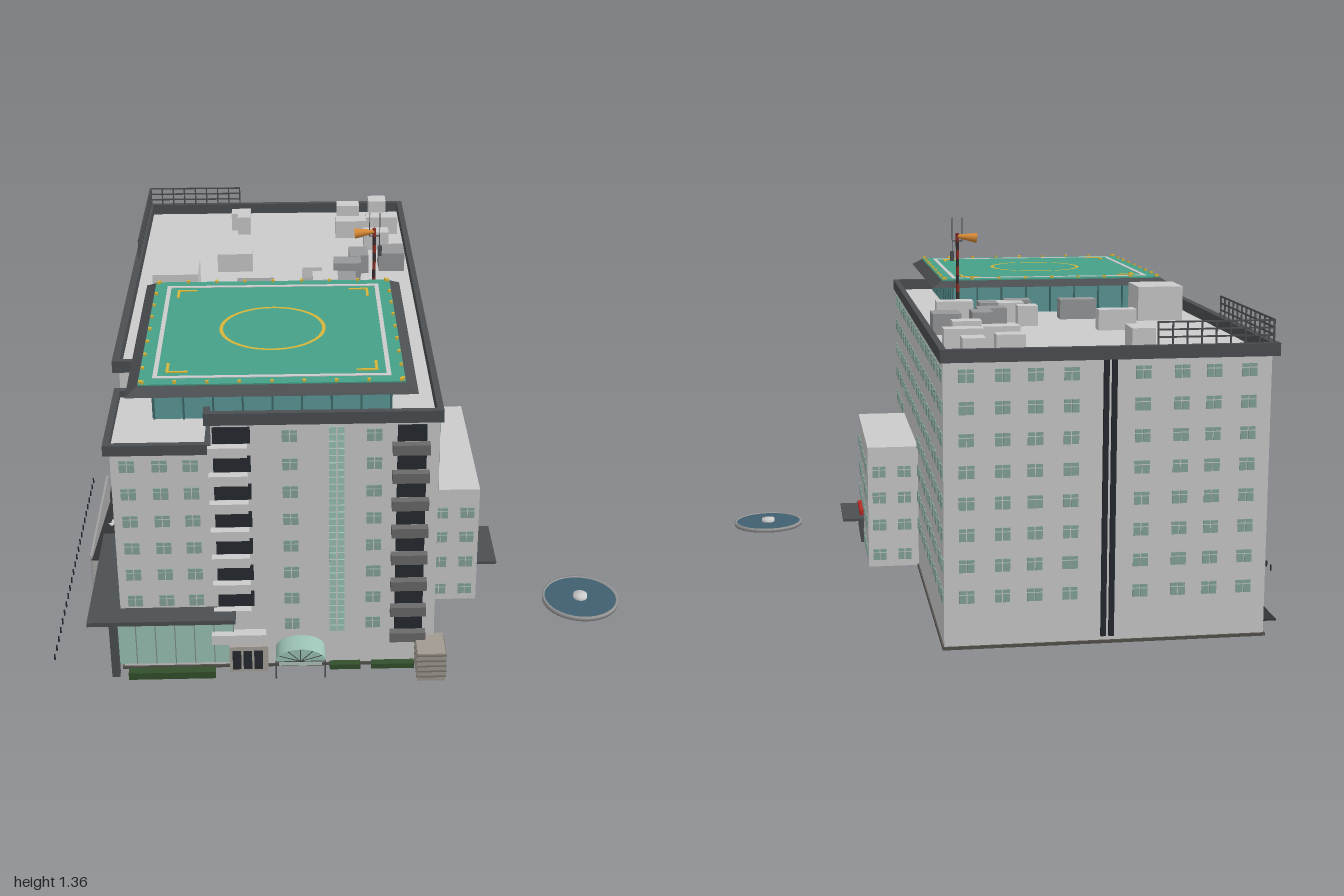
import * as THREE from 'three';
import { mergeGeometries } from 'three/addons/utils/BufferGeometryUtils.js';

export function createModel() {
  const root = new THREE.Group();
  const mats = {};
  const mat = (color) => (mats[color] ??= new THREE.MeshStandardMaterial({ color, side: THREE.DoubleSide }));
  const GREY = 0xcccccc, DARK = 0x4c4f52, BLACK = 0x262b30, GLASS = 0x86a59b, PALE = 0x9cc4b6,
    TEAL = 0x5b9a98, YELLOW = 0xd6b53a, GREEN = 0x33502c, ASPHALT = 0x333436;

  // Box geometry from its min and max on each axis
  const bg = (x0, x1, y0, y1, z0, z1) =>
    new THREE.BoxGeometry(x1 - x0, y1 - y0, z1 - z0).translate((x0 + x1) / 2, (y0 + y1) / 2, (z0 + z1) / 2);
  const add = (name, color, geos) => {
    const m = new THREE.Mesh(Array.isArray(geos) ? mergeGeometries(geos) : geos, mat(color));
    m.name = name;
    root.add(m);
    return m;
  };
  const box = (name, color, ...b) => add(name, color, bg(...b));
  // Four bars around a rectangle
  const frame = (x0, x1, y0, y1, z0, z1, t) => [
    bg(x0, x1, y0, y1, z0, z0 + t), bg(x0, x1, y0, y1, z1 - t, z1),
    bg(x0, x0 + t, y0, y1, z0 + t, z1 - t), bg(x1 - t, x1, y0, y1, z0 + t, z1 - t)];

  // Main block, with a lower wing at the front right corner
  box('mainBlock', GREY, -0.73, 0.28, 0.11, 1.0, -0.98, 0.5);
  box('frontBlock', GREY, -0.42, 0.28, 0.11, 1.0, 0.5, 0.89);
  box('lowerWing', GREY, -0.73, -0.42, 0.11, 0.91, 0.5, 0.89);
  box('basePlate', 0x55524c, -0.735, 0.285, 0.105, 0.115, -0.985, 0.895);
  add('parapet', DARK, [
    bg(-0.75, 0.29, 1.0, 1.04, -1, -0.98), bg(0.27, 0.29, 1.0, 1.04, -0.98, 0.9),
    bg(-0.75, -0.725, 1.0, 1.04, -0.98, 0.52), bg(-0.725, -0.42, 1.0, 1.04, 0.5, 0.52),
    bg(-0.44, 0.27, 1.0, 1.04, 0.88, 0.9), bg(-0.44, -0.42, 1.0, 1.04, 0.52, 0.88)]);
  add('wingParapet', DARK, frame(-0.75, -0.42, 0.9, 0.935, 0.5, 0.9, 0.02));

  // Windows: pairs of panes in grids on every wall
  const panes = [];
  const windowAt = (axis, at, u, y) => {
    for (const s of [-1, 1]) {
      const c = u + s * 0.0125;
      for (const [lo, hi] of [[-0.02, 0.006], [0.009, 0.02]])
        panes.push(axis === 'z' ? bg(c - 0.011, c + 0.011, y + lo, y + hi, at - 0.004, at + 0.004)
          : bg(at - 0.004, at + 0.004, y + lo, y + hi, c - 0.011, c + 0.011));
    }
  };
  for (let r = 0; r < 8; r++) {
    const y = 0.957 - r * 0.098;
    for (let i = 0; i < 20; i++) {
      const z = 0.84 - Math.floor(i / 2) * 0.189 - (i % 2) * 0.083;
      if (!(z < 0.54 && z > -0.1 && y < 0.57)) windowAt('x', 0.28, z, y);
      if (!(z > 0.42 && (r === 0 || r > 6))) windowAt('x', -0.73, z, y);
    }
    for (const x of [-0.66, -0.55, -0.45, -0.33, -0.11, 0, 0.1, 0.21]) windowAt('z', -0.98, x, y);
    for (const x of r === 0 || r === 7 ? [-0.18, 0.08] : [-0.68, -0.58, -0.485, -0.18, 0.08]) windowAt('z', 0.89, x, y);
  }

  // Side annex with its own entrance
  box('annex', GREY, 0.28, 0.46, 0.11, 0.55, -0.09, 0.53);
  for (const y of [0.46, 0.365, 0.265, 0.155]) {
    for (const x of [0.33, 0.42]) { windowAt('z', 0.53, x, y); windowAt('z', -0.09, x, y); }
    for (const z of [0.46, 0.37, 0.27, 0.17, 0.08, -0.02])
      if (y > 0.2 || z > 0.43 || z < 0.2) windowAt('x', 0.46, z, y);
  }
  add('windows', GLASS, panes);
  box('annexDoors', PALE, 0.455, 0.468, 0.11, 0.2, 0.24, 0.42);
  add('annexDoorFrames', DARK, [0.24, 0.285, 0.33, 0.375, 0.42].map((z) => bg(0.46, 0.472, 0.11, 0.2, z - 0.002, z + 0.002)));
  box('annexCanopy', DARK, 0.46, 0.54, 0.2, 0.21, 0.21, 0.45);
  box('annexSignPanel', 0xb52a26, 0.46, 0.475, 0.212, 0.23, 0.25, 0.41);

  // Front balconies in two stacks
  const stack = (name, x0, x1, slabColor, s0, s1, n) => {
    const holes = [], slabs = [];
    for (let r = 0; r < n; r++) {
      const y = 0.935 - r * 0.0985;
      holes.push(bg(x0, x1, y, y + 0.055, 0.885, 0.896));
      slabs.push(bg(s0, s1, y - 0.038, y - 0.004, 0.89, 0.918));
    }
    add(name + 'Openings', BLACK, holes);
    add(name + 'Slabs', slabColor, slabs);
  };
  stack('rightBalcony', -0.415, -0.3, GREY, -0.43, -0.31, 7);
  stack('leftBalcony', 0.15, 0.24, 0x6a6a6a, 0.135, 0.25, 8);
  const strip = [];
  for (let y = 0.24; y < 0.98; y += 0.025)
    for (const x of [-0.06, -0.034]) strip.push(bg(x, x + 0.022, y, y + 0.021, 0.886, 0.894));
  add('stairWindowStrip', PALE, strip);

  // Drainpipes on the back wall
  add('drainpipes', BLACK, [-0.24, -0.215].map((x) => bg(x - 0.008, x + 0.008, 0.13, 1.0, -0.992, -0.978)));

  // Glass lobby under the corner canopy
  box('lobbyCanopy', DARK, -0.83, -0.36, 0.325, 0.34, 0.43, 0.97);
  box('lobbyGlass', PALE, -0.75, -0.37, 0.13, 0.325, 0.47, 0.9);
  const mullions = [bg(-0.75, -0.37, 0.295, 0.3, 0.9, 0.904)];
  for (let i = 0; i < 7; i++) {
    mullions.push(bg(-0.75 + i * 0.063, -0.747 + i * 0.063, 0.13, 0.325, 0.9, 0.904));
    mullions.push(bg(-0.754, -0.75, 0.13, 0.325, 0.47 + i * 0.071, 0.473 + i * 0.071));
  }
  add('lobbyMullions', 0x7d8f89, mullions);
  add('lobbyPillars', DARK, [0.47, 0.93].map((z) => bg(-0.765, -0.74, 0.11, 0.325, z - 0.013, z + 0.013)));
  add('hedges', GREEN, [bg(-0.71, -0.43, 0.11, 0.135, 0.93, 0.96),
    bg(-0.06, 0.04, 0.11, 0.128, 0.9, 0.925), bg(0.075, 0.215, 0.11, 0.128, 0.9, 0.925)]);

  // Front door porch and barrel-vaulted glass entrance
  box('porch', 0xa8a49c, -0.385, -0.26, 0.11, 0.205, 0.88, 0.925);
  add('porchOpenings', BLACK, [-0.375, -0.34, -0.305].map((x) => bg(x, x + 0.028, 0.12, 0.19, 0.92, 0.928)));
  box('porchRoof', GREY, -0.44, -0.265, 0.215, 0.25, 0.88, 0.925);
  const arch = new THREE.Shape();
  arch.moveTo(0.08, 0);
  arch.absellipse(0, 0, 0.08, 0.045, 0, Math.PI, false);
  add('archGlass', PALE, new THREE.ExtrudeGeometry(arch, { depth: 0.085, bevelEnabled: false, curveSegments: 20 })
    .translate(-0.155, 0.178, 0.885));
  box('archDoors', 0xb4c8c0, -0.225, -0.085, 0.11, 0.178, 0.885, 0.9);
  const ribs = [];
  for (let i = 0; i <= 6; i++) {
    const a = (i / 6) * Math.PI;
    const end = new THREE.Vector3(-0.155 + 0.08 * Math.cos(a), 0.178 + 0.045 * Math.sin(a), 0.971);
    ribs.push(new THREE.TubeGeometry(new THREE.LineCurve3(new THREE.Vector3(-0.155, 0.178, 0.971), end), 1, 0.0015, 5));
  }
  for (const x of [-0.234, -0.076]) ribs.push(new THREE.CylinderGeometry(0.003, 0.003, 0.068, 6).translate(x, 0.144, 0.965));
  add('archRibs', DARK, ribs);

  // Louvred kiosk at the front left corner
  box('kiosk', 0xa09a90, 0.22, 0.31, 0.11, 0.215, 0.88, 0.995);
  add('kioskLouvres', 0x7c776f, [0, 1, 2, 3, 4].map((i) => bg(0.217, 0.313, 0.125 + i * 0.02, 0.131 + i * 0.02, 0.89, 0.998)));

  // Helipad on a glazed storey, with a sloped rim
  const cx = -0.23, cz = 0.47;
  box('helipadStorey', TEAL, -0.59, 0.135, 1.0, 1.105, 0.11, 0.85);
  const posts = [];
  for (let i = 0; i <= 8; i++) for (const s of [-1, 1]) {
    posts.push(bg(cx - 0.363 + i * 0.09, cx - 0.357 + i * 0.09, 1.0, 1.105, cz + 0.01 + s * 0.371 - 0.003, cz + 0.01 + s * 0.371 + 0.003));
    posts.push(bg(cx + s * 0.363 - 0.003, cx + s * 0.363 + 0.003, 1.0, 1.105, cz - 0.353 + i * 0.09, cz - 0.347 + i * 0.09));
  }
  add('helipadMullions', 0x3f6a6a, posts);
  const rim = new THREE.CylinderGeometry(0.405 * Math.SQRT2, 0.44 * Math.SQRT2, 0.022, 4).rotateY(Math.PI / 4);
  add('helipadRim', DARK, rim.toNonIndexed().translate(cx, 1.113, cz)).geometry.computeVertexNormals();
  box('helipadDeck', 0x45a088, cx - 0.403, cx + 0.403, 1.12, 1.128, cz - 0.403, cz + 0.403);
  add('helipadBorder', GREY, frame(cx - 0.362, cx + 0.362, 1.126, 1.13, cz - 0.362, cz + 0.362, 0.014));
  add('helipadCircle', YELLOW, new THREE.RingGeometry(0.16, 0.172, 48).rotateX(-Math.PI / 2).translate(cx, 1.13, cz));
  const marks = [];
  for (const sx of [-1, 1]) for (const sz of [-1, 1]) {
    const x = cx + sx * 0.32, z = cz + sz * 0.32;
    marks.push(new THREE.BoxGeometry(0.065, 0.004, 0.009).translate(x - sx * 0.03, 1.129, z));
    marks.push(new THREE.BoxGeometry(0.009, 0.004, 0.065).translate(x, 1.129, z - sz * 0.03));
  }
  for (let i = 0; i < 9; i++) for (const s of [-1, 1]) {
    const t = -0.39 + i * 0.0975;
    marks.push(new THREE.BoxGeometry(0.01, 0.012, 0.01).translate(cx + t, 1.13, cz + s * 0.396));
    marks.push(new THREE.BoxGeometry(0.01, 0.012, 0.01).translate(cx + s * 0.396, 1.13, cz + t));
  }
  add('helipadMarksAndLights', YELLOW, marks);

  // Windsock mast with antennas
  for (let i = 0; i < 10; i++)
    add('mastSection', i % 2 ? 0x8c2f26 : 0x3a3030, new THREE.CylinderGeometry(0.006, 0.006, 0.03, 8).translate(0.122, 1.015 + i * 0.03, 0.02));
  add('windsock', 0xd98a35, new THREE.CylinderGeometry(0.018, 0.006, 0.07, 12, 1, true).rotateZ(Math.PI / 2 + 0.1).translate(0.088, 1.285, 0.02));
  add('antennas', DARK, [bg(0.104, 0.107, 1.27, 1.355, 0.019, 0.022), bg(0.139, 0.142, 1.2, 1.355, 0.019, 0.022),
    bg(0.105, 0.142, 1.27, 1.274, 0.019, 0.022), bg(0.135, 0.148, 1.2, 1.235, 0.014, 0.026)]);

  // Rooftop plant: x0, x1, z0, z1 of each unit
  const units = [[0.02, 0.11, -0.92, -0.86], [0.15, 0.22, -0.98, -0.91], [-0.4, -0.325, -0.84, -0.78],
    [-0.375, -0.325, -0.78, -0.735], [0.01, 0.13, -0.74, -0.68], [0.13, 0.255, -0.78, -0.72],
    [0.115, 0.21, -0.61, -0.55], [-0.44, -0.31, -0.395, -0.34], [-0.125, -0.055, -0.26, -0.2],
    [-0.09, 0, -0.165, -0.08], [0.08, 0.21, -0.105, -0.04]];
  const darkUnits = [[0.05, 0.12, -0.405, -0.31], [0.16, 0.255, -0.43, -0.33], [-0.01, 0.09, -0.305, -0.235],
    [0, 0.065, -0.16, -0.07], [-0.125, -0.035, -0.1, -0.03], [-0.36, -0.23, -0.105, -0.04]];
  const unit = ([a, b, c, d]) => bg(a, b, 1.0, 1.07, c, d);
  add('roofUnits', GREY, units.map(unit));
  add('darkRoofUnits', 0x96989a, darkUnits.map(unit));
  box('liftHouse', GREY, -0.655, -0.495, 1.0, 1.12, -0.18, -0.02);

  // Roof railing around the back right corner
  const rails = [];
  for (const y of [1.06, 1.083, 1.106])
    rails.push(bg(-0.737, -0.732, y, y + 0.005, -0.98, -0.39), bg(-0.735, -0.37, y, y + 0.005, -0.985, -0.98));
  for (let i = 0; i <= 12; i++) rails.push(bg(-0.737, -0.732, 1.04, 1.11, -0.98 + i * 0.049, -0.975 + i * 0.049));
  for (let i = 0; i <= 8; i++) rails.push(bg(-0.735 + i * 0.045, -0.73 + i * 0.045, 1.04, 1.11, -0.985, -0.98));
  add('roofRailing', DARK, rails);

  // Car ramp down to the basement, between retaining walls
  box('rampApron', ASPHALT, -0.915, -0.745, 0, 0.006, -0.55, -0.36);
  add('rampWalls', 0xa0a0a0, [bg(-0.915, -0.907, 0, 0.125, -0.36, 0.235), bg(-0.748, -0.74, 0, 0.125, -0.36, 0.235)]);
  const ramp = new THREE.Group();
  ramp.name = 'ramp';
  const part = (color, g) => ramp.add(new THREE.Mesh(g, mat(color)));
  part(ASPHALT, bg(-0.082, 0.082, -0.006, 0, -0.303, 0.303));
  for (let i = 0; i < 6; i++) part(YELLOW, bg(-0.003, 0.003, 0, 0.002, -0.26 + i * 0.1, -0.21 + i * 0.1));
  for (const s of [-1, 1]) {
    const arrow = new THREE.Shape([[-0.006, -0.035], [0.006, -0.035], [0.006, 0], [0.018, 0], [0, 0.035], [-0.018, 0], [-0.006, 0]]
      .map(([x, y]) => new THREE.Vector2(x, y)));
    part(GREY, new THREE.ShapeGeometry(arrow).rotateX(-Math.PI / 2).rotateY(s > 0 ? 0 : Math.PI).translate(s * 0.043, 0.002, s * 0.055));
  }
  ramp.position.set(-0.828, 0.06, -0.0625);
  ramp.rotation.x = -Math.atan2(0.105, 0.595);
  root.add(ramp);

  // Row of bollards along the kerb
  const bollards = [];
  for (let i = 0; i < 24; i++) bollards.push(new THREE.CylinderGeometry(0.003, 0.003, 0.022, 6).translate(-0.963, 0.121, -0.33 + i * 0.051));
  add('bollards', BLACK, bollards);

  // Round fountain
  const lathe = (pts) => new THREE.LatheGeometry(pts.map((p) => new THREE.Vector2(...p)), 48).translate(0.825, 0.11, 0.55);
  add('fountainBasin', 0xa0a0a0, lathe([[0, 0], [0.132, 0], [0.132, 0.014], [0.124, 0.014], [0.124, 0.008]]));
  add('fountainWater', 0x40606f, new THREE.CircleGeometry(0.125, 48).rotateX(-Math.PI / 2).translate(0.825, 0.121, 0.55));
  add('fountainSpout', GREY, lathe([[0.024, 0.008], [0.024, 0.024], [0, 0.026]]));
  return root;
}
